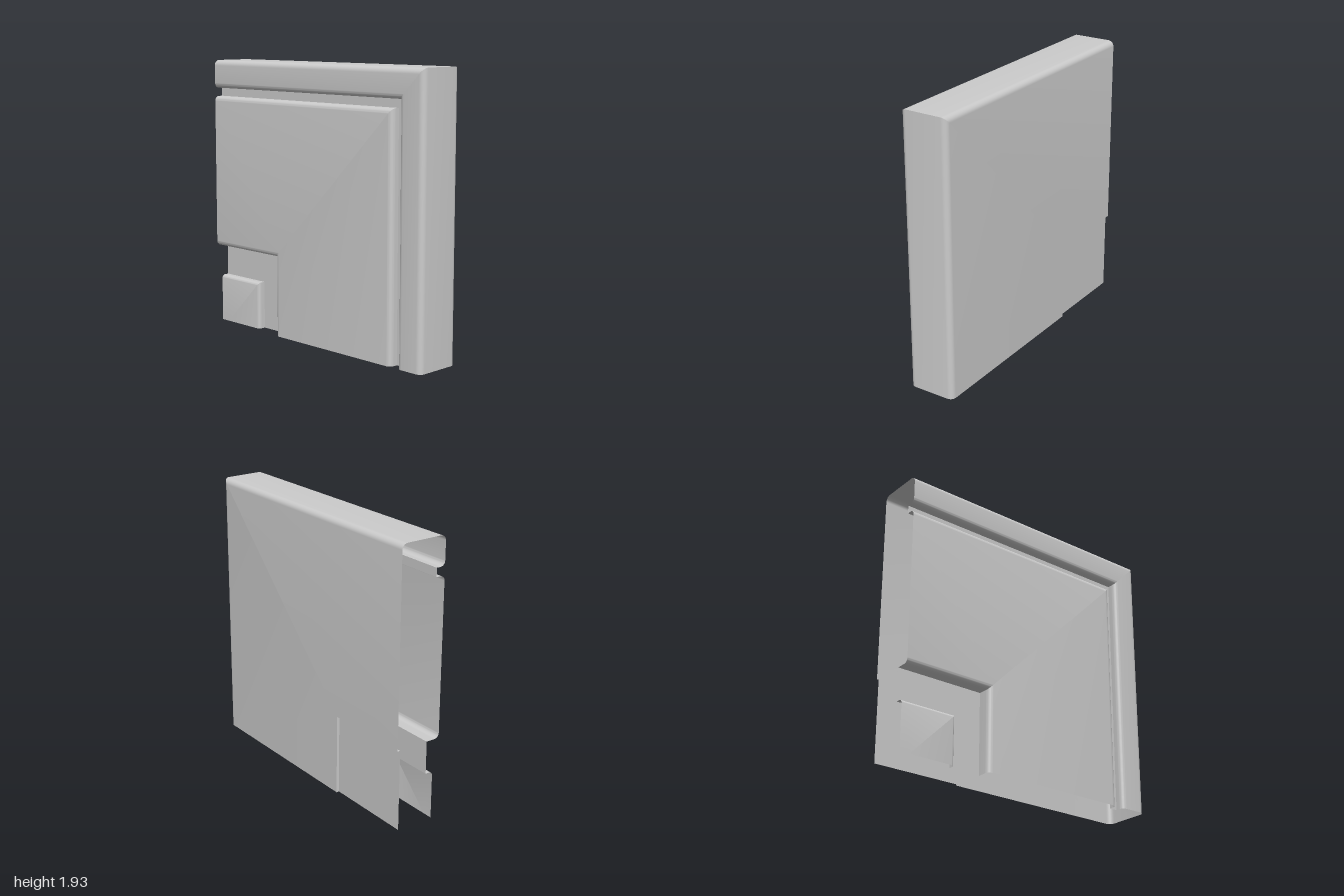
import * as THREE from 'three';
import { toCreasedNormals } from 'three/addons/utils/BufferGeometryUtils.js';

const HEIGHT = 1.93, LEFT = -1, RIGHT = 1;

// Profile corners are [distance in from the outer edge, z, fillet radius]
function fillet(corners, steps = 8) {
  const out = [];
  corners.forEach(([d, z, r], i) => {
    const p = new THREE.Vector2(d, z);
    if (!r) return out.push(p);
    const toward = (c) => new THREE.Vector2(c[0], c[1]).sub(p).normalize();
    const a = toward(corners[i - 1]), b = toward(corners[i + 1]);
    for (let k = 0; k <= steps; k++) {
      const t = (k / steps) * Math.PI / 2;
      out.push(p.clone()
        .addScaledVector(a, r * (1 - Math.sin(t)))
        .addScaledVector(b, r * (1 - Math.cos(t))));
    }
  });
  return out;
}

// Sweeps a profile along one straight leg, given both end points of each line
function sweepLeg(profile, ends) {
  const pos = [];
  const tri = (a, b, c) => {
    if (new THREE.Triangle(a, b, c).getArea() > 1e-8) {
      for (const v of [a, b, c]) pos.push(v.x, v.y, v.z);
    }
  };
  for (let i = 0; i + 1 < profile.length; i++) {
    const [a0, b0] = ends(profile[i]);
    const [a1, b1] = ends(profile[i + 1]);
    tri(a0, a1, b1);
    tri(a0, b1, b0);
  }
  const geo = new THREE.BufferGeometry();
  geo.setAttribute('position', new THREE.Float32BufferAttribute(pos, 3));
  return toCreasedNormals(geo, Math.PI / 5);
}

// The two legs meet on a 45 degree mitre
const topLeg = ({ x: d, y: z }) => [
  new THREE.Vector3(LEFT, HEIGHT - d, z),
  new THREE.Vector3(RIGHT - d, HEIGHT - d, z),
];
const sideLeg = ({ x: d, y: z }) => [
  new THREE.Vector3(RIGHT - d, HEIGHT - d, z),
  new THREE.Vector3(RIGHT - d, 0, z),
];

export function createModel() {
  const group = new THREE.Group();
  const material = new THREE.MeshStandardMaterial({ color: 0xcccccc, side: THREE.DoubleSide });

  const parts = {
    // recessed square in the back corner and its step
    backRecess: [[HEIGHT, -0.15], [1.36, -0.15], [1.36, -0.17]],
    // flat back wrapping round the outer edge to the front rim
    outerRim: [[1.36, -0.17], [0, -0.17, 0.04], [0, 0.17, 0.04], [0.2, 0.17, 0.035], [0.2, 0.105]],
    groove: [[0.2, 0.105], [0.26, 0.105]],
    raisedPanel: [[0.26, 0.105], [0.26, 0.17, 0.035], [1.36, 0.17, 0.035], [1.36, 0.07]],
    recessFloor: [[1.36, 0.07], [1.59, 0.07]],
    cornerBlock: [[1.59, 0.07], [1.59, 0.125, 0.025], [HEIGHT, 0.125]],
  };

  for (const [name, corners] of Object.entries(parts)) {
    const profile = fillet(corners);
    const part = new THREE.Group();
    part.name = name;
    for (const [leg, ends] of [['Top', topLeg], ['Side', sideLeg]]) {
      const mesh = new THREE.Mesh(sweepLeg(profile, ends), material);
      mesh.name = name + leg;
      part.add(mesh);
    }
    group.add(part);
  }
  return group;
}
